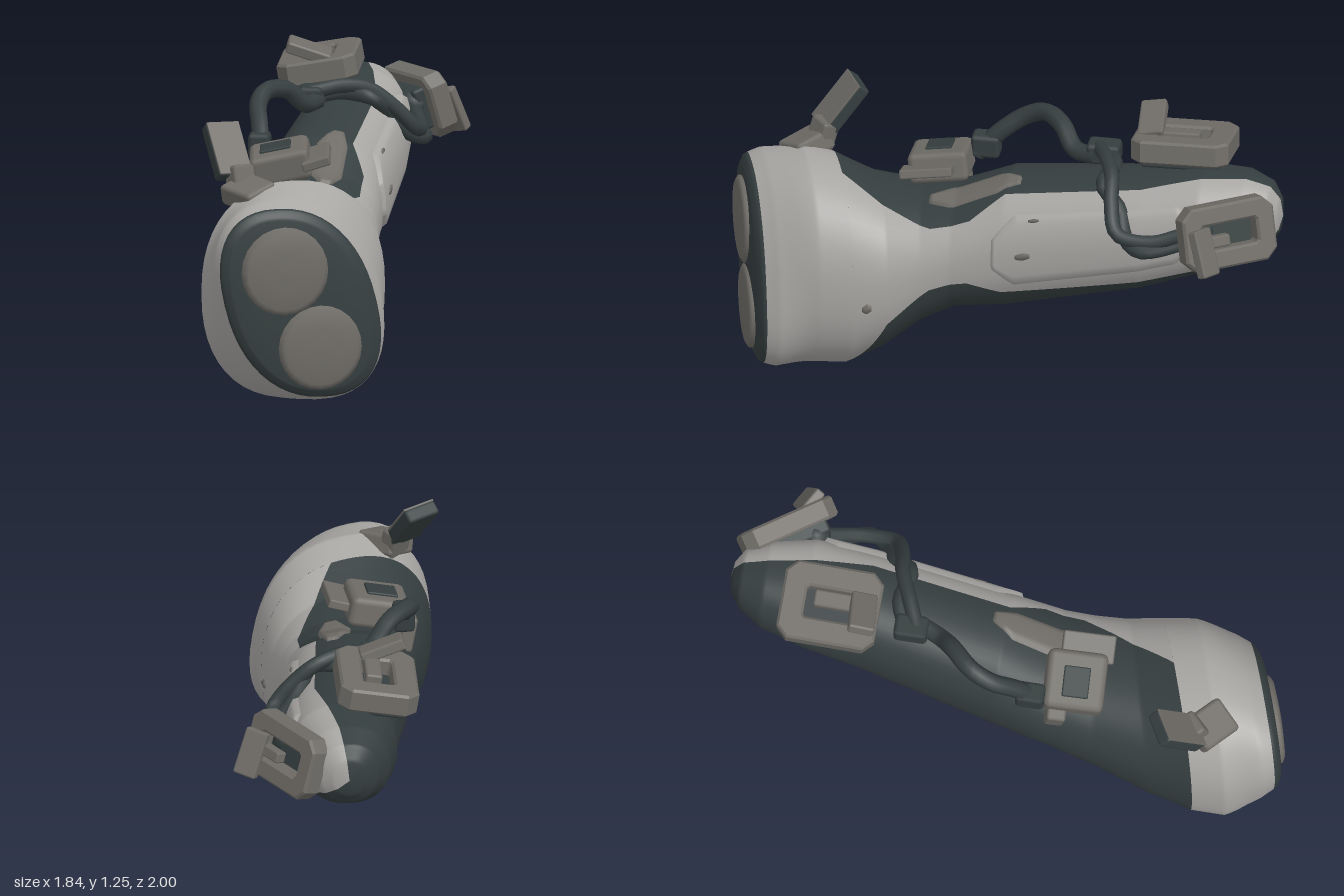
import * as THREE from 'three';
import { mergeVertices } from 'three/addons/utils/BufferGeometryUtils.js';
import { RoundedBoxGeometry } from 'three/addons/geometries/RoundedBoxGeometry.js';

const DEG = Math.PI / 180;
const fade = (t, from, to) => 1 - THREE.MathUtils.smoothstep(t, from, to);
const mat = (name, color) => Object.assign(new THREE.MeshStandardMaterial({ color }), { name });
const named = (o, name) => Object.assign(o, { name });

// Hull profile: position along the axis, side min/max, height min/max
const PROFILE = [
  [-1.095, -0.02, -0.02, 0.43, 0.43],
  [-1.085, -0.28, 0.225, 0.08, 0.78],
  [-1.06, -0.325, 0.27, 0.04, 0.825],
  [-0.99, -0.375, 0.29, 0.015, 0.86],
  [-0.82, -0.45, 0.29, 0.0, 0.91],
  [-0.68, -0.45, 0.275, 0.01, 0.88],
  [-0.52, -0.42, 0.253, 0.11, 0.81],
  [-0.35, -0.37, 0.23, 0.25, 0.8],
  [-0.2, -0.34, 0.215, 0.33, 0.83],
  [0.02, -0.305, 0.215, 0.36, 0.94],
  [0.6, -0.21, 0.25, 0.53, 1.04],
  [0.85, -0.19, 0.25, 0.63, 1.08],
  [1.03, -0.15, 0.2, 0.71, 1.075],
  [1.13, -0.09, 0.15, 0.77, 1.04],
  [1.17, -0.03, 0.09, 0.83, 0.98],
  [1.18, 0.03, 0.03, 0.9, 0.9],
];

// Light flank band: position along the axis, low and high angle
const BAND = [
  [-0.68, -65, 82], [-0.52, -20, 68], [-0.3, -8, 46], [-0.12, -12, 44],
  [0.02, -28, 62], [0.6, -38, 63], [0.85, -42, 75], [1.1, -38, 82],
];

// Row of a table interpolated at t
function lookup(table, t) {
  let i = 0;
  while (i < table.length - 2 && t > table[i + 1][0]) i++;
  const a = table[i], b = table[i + 1], f = (t - a[0]) / (b[0] - a[0]);
  return a.map((v, j) => v + (b[j] - v) * f);
}

// Point on the hull at t and angle a (degrees, 0 = right flank, 90 = top)
function hullPoint(t, a, lift) {
  const [, s0, s1, y0, y1] = lookup(PROFILE, t);
  const soft = v => Math.sign(v) * Math.abs(v) ** 0.87;
  const dy = soft(Math.sin(a * DEG)) * ((y1 - y0) / 2 + lift);
  const skew = -0.24 * fade(t, -1.08, -0.82), slant = 0.35 * fade(t, -0.65, -0.1);
  const s = (s0 + s1) / 2 + soft(Math.cos(a * DEG)) * ((s1 - s0) / 2 + lift) + skew * dy;
  return [s, (y0 + y1) / 2 + dy, -(t + slant * s)];
}

// A piece of hull between two positions and two angle rules; a lift raises it with sloping edges
function hullPatch(name, material, t0, t1, lo, hi, cols, lift = 0) {
  const rows = Math.max(7, Math.round((t1 - t0) / 0.01));
  const pos = [], idx = [];
  for (let i = 0; i <= rows; i++) {
    const t = t0 + (t1 - t0) * i / rows;
    for (let j = 0; j <= cols; j++) {
      const a = lo(t) + (hi(t) - lo(t)) * j / cols;
      const edge = i === 0 || i === rows || j === 0 || j === cols;
      pos.push(...hullPoint(t, a, lift && edge ? -0.006 : lift));
      if (i < rows && j < cols) {
        const p = i * (cols + 1) + j, q = p + cols + 1;
        idx.push(p, q, p + 1, p + 1, q, q + 1);
      }
    }
  }
  let g = new THREE.BufferGeometry();
  g.setAttribute('position', new THREE.Float32BufferAttribute(pos, 3));
  g.setIndex(idx);
  g = mergeVertices(g, 1e-4);
  g.computeVertexNormals();
  return named(new THREE.Mesh(g, material), name);
}

// Raised patch centred on angle mid, with clipped corners of length clip
function raisedPatch(name, material, t0, t1, mid, below, above, clip, cols, lift) {
  const width = t => Math.min(1, 0.35 + Math.min(t - t0, t1 - t) / clip);
  return hullPatch(name, material, t0, t1, t => mid - below * width(t), t => mid + above * width(t), cols, lift);
}

function box(name, material, size, p, r = [0, 0, 0]) {
  const m = new THREE.Mesh(new RoundedBoxGeometry(...size, 1, Math.min(...size) * 0.2), material);
  m.position.set(...p);
  m.rotation.set(...r);
  return named(m, name);
}

// Rectangular ring with clipped corners, lying in its own XY plane
function frame(name, material, w, h, rim, depth) {
  const outline = (path, x, y, c) => {
    [[-x + c, -y], [x - c, -y], [x, -y + c], [x, y - c], [x - c, y], [-x + c, y], [-x, y - c], [-x, -y + c]]
      .forEach(([u, v], i) => (i ? path.lineTo(u, v) : path.moveTo(u, v)));
    path.closePath();
    return path;
  };
  const shape = outline(new THREE.Shape(), w / 2, h / 2, 0.04);
  shape.holes.push(outline(new THREE.Path(), w / 2 - rim, h / 2 - rim, 0.015));
  const g = new THREE.ExtrudeGeometry(shape, { depth, bevelSize: 0.01, bevelThickness: 0.01, bevelSegments: 1 });
  g.translate(0, 0, -depth / 2);
  return named(new THREE.Mesh(g, material), name);
}

function cable(name, material, points, r) {
  const curve = new THREE.CatmullRomCurve3(points.map(p => new THREE.Vector3(...p)));
  return named(new THREE.Mesh(new THREE.TubeGeometry(curve, 28, r, 8), material), name);
}

function assembly(name, p, r, ...parts) {
  const g = named(new THREE.Group(), name);
  g.position.set(...p);
  g.rotation.set(...r);
  return g.add(...parts);
}

export function createModel() {
  const light = mat('light grey shell', 0xa9a7a4);
  const dark = mat('dark slate', 0x353e3f);
  const mid = mat('warm grey', 0x6f6c67);
  const model = named(new THREE.Group(), 'device');

  // Hull, built along its own axis and turned to the diagonal
  const hull = named(new THREE.Group(), 'hull');
  hull.rotation.y = -0.558;
  const zero = () => 0, full = () => 360;
  const lo = t => lookup(BAND, t)[1], hi = t => lookup(BAND, t)[2];
  hull.add(
    hullPatch('frontFace', dark, -1.095, -1.045, zero, full, 48),
    hullPatch('headShell', light, -1.045, -0.68, zero, full, 48),
    hullPatch('sideShell', light, -0.68, 1.18, lo, hi, 16),
    hullPatch('darkBody', dark, -0.68, 1.18, hi, t => lo(t) + 360, 36),
  );

  // Raised flank panel, top inlay, belly pad and small worn spots
  hull.add(
    raisedPatch('sidePanel', light, -0.02, 0.86, 8, 30, 34, 0.15, 10, 0.015),
    raisedPatch('topInlay', mid, -0.32, 0.08, 78, 13, 14, 0.15, 8, 0.012),
    raisedPatch('bellyPad', mid, -0.38, -0.22, -95, 16, 16, 0.08, 6, 0.015));
  for (const [t, a, dt, da, lift] of [[0.12, 4, 0.04, 4, 0.02], [0.16, 33, 0.03, 3, 0.02], [-0.62, -5, 0.025, 4, 0.006]])
    hull.add(raisedPatch('spot', mid, t - dt, t + dt, a, da, da, 0.04, 4, lift));

  // Two lenses on the slanted face
  const lensProfile = [[0.18, -0.03], [0.176, 0.008], [0.155, 0.02], [0.08, 0.026], [0, 0.028]]
    .map(p => new THREE.Vector2(...p));
  for (const [s, y, size] of [[-0.09, 0.575, 1.04], [0.052, 0.25, 1]]) {
    const lens = named(new THREE.Mesh(new THREE.LatheGeometry(lensProfile, 24), mid), 'lensDisc');
    lens.rotation.x = Math.PI / 2;
    lens.scale.setScalar(size);
    hull.add(assembly('lens', [s, y, 1.087 - 0.35 * s], [0, 0.337, 0], lens));
  }

  // Rear top buckle
  const topFrame = frame('buckleFrame', mid, 0.31, 0.39, 0.08, 0.08);
  topFrame.rotation.x = -Math.PI / 2;
  hull.add(assembly('topBuckle', [-0.11, 1.12, -0.74], [0.03, 0, 0.17],
    topFrame,
    box('buckleBase', dark, [0.24, 0.06, 0.33], [0, -0.05, 0]),
    box('buckleTongue', mid, [0.07, 0.05, 0.24], [0.02, 0.035, 0.05]),
    box('buckleTab', mid, [0.19, 0.05, 0.11], [-0.02, 0.085, 0.14], [0.15, 0, -0.5])));

  // Middle buckle
  hull.add(assembly('middleBuckle', [-0.18, 0.89, 0.3], [0.12, 0.08, 0.2],
    box('buckleBlock', mid, [0.25, 0.13, 0.25], [0, 0, 0]),
    box('bucklePad', dark, [0.13, 0.03, 0.11], [-0.01, 0.06, 0]),
    box('buckleFlap', mid, [0.12, 0.04, 0.22], [0.15, 0.0, 0.04], [0, 0, 0.1]),
    box('buckleHook', mid, [0.06, 0.15, 0.08], [-0.14, -0.08, -0.06])));
  model.add(hull);

  // Rear flank buckle
  model.add(assembly('sideBuckle', [0.76, 0.93, -0.69], [0, 0, 0.3],
    assembly('sideBuckleTurn', [0, 0, 0], [0, Math.PI / 2 + 0.05, 0],
      frame('buckleFrame', mid, 0.39, 0.25, 0.062, 0.07),
      box('buckleBase', dark, [0.3, 0.18, 0.07], [0, 0, -0.06]),
      box('buckleTongue', mid, [0.16, 0.05, 0.05], [-0.08, -0.02, 0.02])),
    box('buckleTab', mid, [0.045, 0.2, 0.1], [0.07, -0.05, 0.13], [0, 0.5, 0.15])));

  // Clip with a leaning two-tone blade on the head
  model.add(
    assembly('clipBlade', [-0.71, 1.01, 0.45], [-0.68, 0, -0.05],
      box('bladeBack', dark, [0.15, 0.25, 0.06], [0, 0, 0]),
      box('bladeFront', mid, [0.146, 0.246, 0.009], [0, 0, 0.031])),
    box('clipArm', mid, [0.11, 0.13, 0.08], [-0.69, 0.9, 0.54], [-0.3, 0.2, 0]),
    box('clipFoot', mid, [0.16, 0.09, 0.18], [-0.69, 0.86, 0.61], [0.15, 0.3, 0.25]));

  // Cables and their joints
  model.add(
    cable('archCable', dark, [[-0.32, 0.89, 0.0], [-0.28, 1.0, -0.1], [-0.24, 1.07, -0.19],
      [-0.17, 1.11, -0.25], [-0.06, 1.1, -0.28], [0.03, 1.03, -0.3], [0.12, 1.03, -0.36]], 0.038),
    box('cableJoint', dark, [0.1, 0.09, 0.14], [0.11, 1.04, -0.4], [0, -0.55, 0]),
    box('cableSocket', dark, [0.09, 0.1, 0.12], [-0.31, 0.93, -0.04], [0, -0.55, 0]));
  for (const [dy, dz] of [[0, 0], [-0.035, -0.04]])
    model.add(cable('sideCable', dark, [[0.1, 1.06 + dy, -0.38 + dz], [0.24, 1.08 + dy, -0.36 + dz],
      [0.35, 1.06 + dy, -0.34 - dz], [0.45, 0.98 + dy, -0.3 + dz], [0.54, 0.89 + dy, -0.29 + dz],
      [0.62, 0.87 + dy, -0.4 - dz], [0.66, 0.9 + dy, -0.52 + dz], [0.7, 0.95 + dy, -0.65]], 0.031));
  const knob = named(new THREE.Mesh(new THREE.SphereGeometry(0.07, 10, 8), dark), 'cableKnob');
  knob.position.set(0.68, 0.93, -0.6);
  model.add(knob);
  return model;
}
